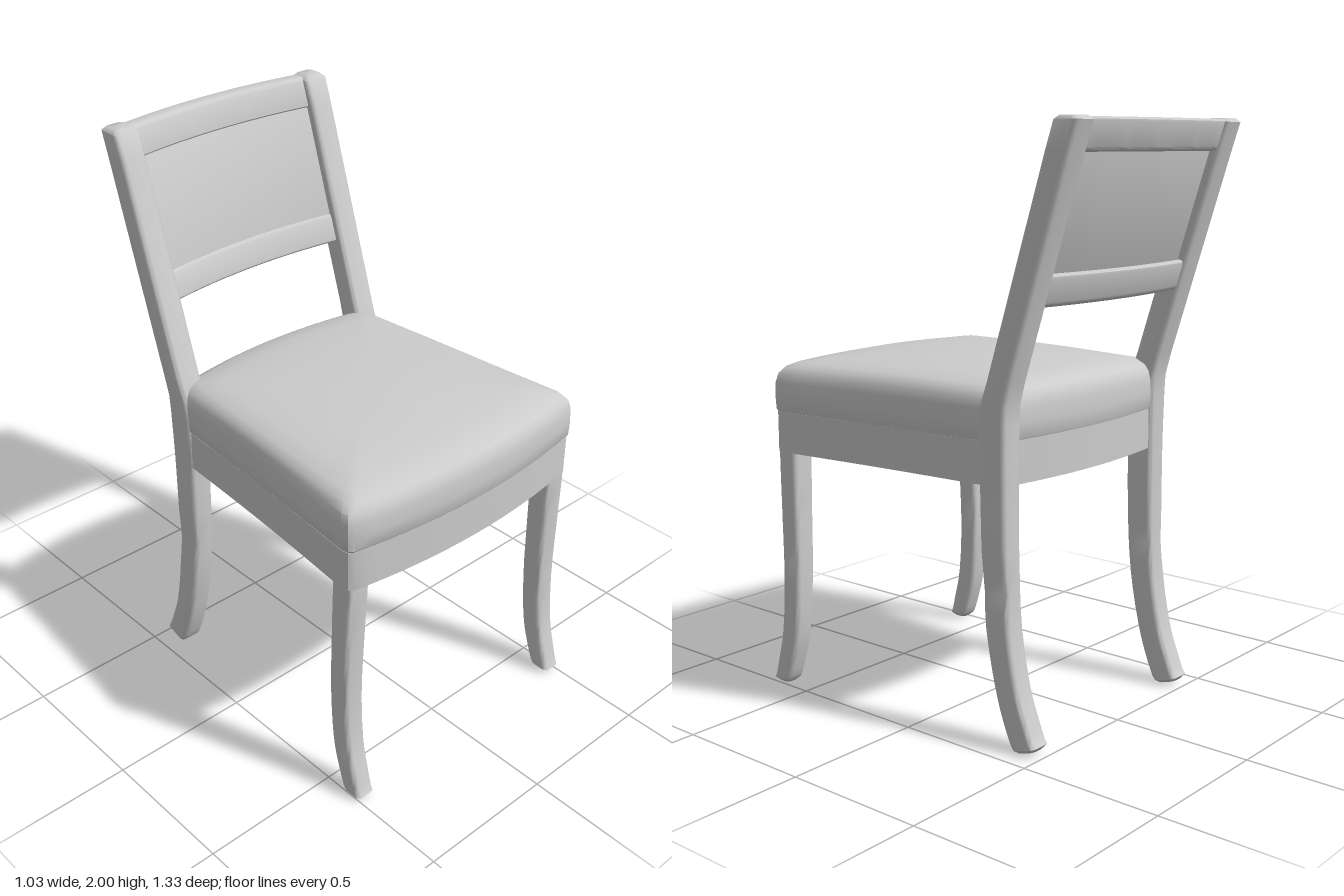
import * as THREE from 'three';
import { toCreasedNormals } from 'three/addons/utils/BufferGeometryUtils.js';

const V = (x, y, z) => new THREE.Vector3(x, y, z);

// Skin a list of equal-length rings and close both ends
function loft(rings, crease = 0.6) {
  const n = rings[0].length, pos = [], idx = [];
  rings.forEach(r => r.forEach(p => pos.push(p.x, p.y, p.z)));
  for (let k = 0; k < rings.length - 1; k++) {
    for (let i = 0; i < n; i++) {
      const a = k * n + i, b = k * n + (i + 1) % n;
      idx.push(a, a + n, b, b, a + n, b + n);
    }
  }
  [0, rings.length - 1].forEach((k, end) => {
    const c = rings[k].reduce((s, p) => s.add(p), V(0, 0, 0)).divideScalar(n);
    const ci = pos.length / 3;
    pos.push(c.x, c.y, c.z);
    for (let i = 0; i < n; i++) {
      const a = k * n + i, b = k * n + (i + 1) % n;
      if (end) idx.push(ci, b, a); else idx.push(ci, a, b);
    }
  });
  const g = new THREE.BufferGeometry();
  g.setAttribute('position', new THREE.Float32BufferAttribute(pos, 3));
  g.setIndex(idx);
  return toCreasedNormals(g, crease);
}

// Rounded rectangle as [u, v] pairs, turning from u towards v
function roundRect(hu, hv, r) {
  const pts = [];
  [[1, 1], [-1, 1], [-1, -1], [1, -1]].forEach(([su, sv], q) => {
    for (let i = 0; i < 4; i++) {
      const a = (q + i / 3) * Math.PI / 2;
      pts.push([su * (hu - r) + r * Math.cos(a), sv * (hv - r) + r * Math.sin(a)]);
    }
  });
  return pts;
}

// Leg from sections [y, xCentre, zBack, zFront, halfWidth, tilt], with softened ends
function legGeometry(sections, side) {
  const shrink = ([y, x, z0, z1, w, t]) => [y, x, z0 + 0.012, z1 - 0.012, w - 0.012, t];
  const first = shrink(sections[0]), last = shrink(sections[sections.length - 1]);
  sections[0][0] += 0.012;
  sections[sections.length - 1][0] -= 0.012;
  return loft([first, ...sections, last].map(([y, x, z0, z1, w, t = 0]) =>
    roundRect(w, (z1 - z0) / 2, 0.016).map(([u, v]) => V(side * x + u, y + t * v, (z0 + z1) / 2 + v))), 0.8);
}

// Smooth the curved part of a leg by sampling splines through its keys
function smooth(keys, steps) {
  const a = new THREE.CatmullRomCurve3(keys.map(k => V(k[0], k[2], k[3])));
  const b = new THREE.CatmullRomCurve3(keys.map(k => V(k[1], k[4], k[5] || 0)));
  return Array.from({ length: steps + 1 }, (_, i) => {
    const t = i / steps, p = a.getPoint(t), q = b.getPoint(t);
    return [p.x, q.x, p.y, p.z, q.y, q.z];
  });
}

// Seat plan: tapered, with bowed front and back; soften > 0 rounds it towards an oval
function seatOutline(s = 1, soften = 0) {
  const half = z => 0.44 + 0.088 * (z + 0.26) - 0.006 * Math.sin(Math.PI * Math.max(0, (z + 0.26) / 0.84));
  const pts = [], N = 12;
  for (let i = 0; i <= N; i++) { const z = -0.335 + 0.91 * i / N; pts.push([half(z), z]); }
  pts.push([0.508, 0.6]);
  for (let i = 0; i <= 16; i++) { const u = 1 - i / 8; pts.push([0.492 * u, 0.66 - 0.047 * u * u]); }
  pts.push([-0.508, 0.6]);
  for (let i = N; i >= 0; i--) { const z = -0.335 + 0.91 * i / N; pts.push([-half(z), z]); }
  for (let i = 0; i <= 16; i++) { const u = i / 8 - 1; pts.push([0.415 * u, -0.39 + 0.04 * u * u]); }
  return pts.map(([x, z]) => {
    const oval = 1 / Math.max(1, Math.hypot(x / 0.48, (z - 0.13) / 0.52));
    const k = s * (1 + (oval - 1) * soften);
    return [x * k, 0.13 + (z - 0.13) * k];
  });
}

// Bowed, leaning back slat between heights y0 and y1; f and b are depths behind the post fronts
function slatGeometry(y0, y1, f, b, r) {
  const rings = [];
  for (let i = 0; i <= 20; i++) {
    const u = i / 10 - 1;
    rings.push(roundRect((f - b) / 2, (y1 - y0) / 2, r).map(([w, h]) => {
      const y = (y0 + y1) / 2 + h;
      const z = -0.27 - 0.318 * (y - 1.106) + (f + b) / 2 + w + 0.035 * u * u;
      return V(0.385 * u, y, z);
    }));
  }
  return loft(rings);
}

export function createModel() {
  const chair = new THREE.Group();
  chair.name = 'chair';
  const grey = new THREE.MeshStandardMaterial({ color: 0xcccccc });
  grey.name = 'light grey';
  const add = (name, geometry) => {
    const m = new THREE.Mesh(geometry, grey);
    m.name = name;
    chair.add(m);
  };

  // Padded seat
  const layers = [[0.99, 1.0], [1.004, 1.015], [1.008, 1.06], [1.005, 1.11], [0.993, 1.14], [0.968, 1.162],
    [0.92, 1.178], [0.8, 1.192], [0.65, 1.201], [0.5, 1.207], [0.35, 1.211], [0.2, 1.214], [0.03, 1.215]];
  add('seatCushion', loft(layers.map(([s, y]) =>
    seatOutline(s, Math.min(1, Math.max(0, 1.6 * (1 - s)))).map(([x, z]) => V(x, y, z)))));

  // Hollow frame under the seat
  const flat = s => seatOutline(s).map(([x, z]) => new THREE.Vector2(x, -z));
  const frame = new THREE.Shape(flat(0.997));
  frame.holes.push(new THREE.Path(flat(0.9).reverse()));
  const apron = new THREE.ExtrudeGeometry(frame, { depth: 0.142, bevelEnabled: false });
  apron.rotateX(-Math.PI / 2).translate(0, 0.865, 0);
  add('seatFrame', toCreasedNormals(apron, 0.6));

  for (const side of [1, -1]) {
    const label = side > 0 ? 'left' : 'right';
    // Front leg, kicking forward at the foot
    add(label + 'FrontLeg', legGeometry(smooth([
      [0.012, 0.475, 0.585, 0.66, 0.035], [0.1, 0.474, 0.555, 0.637, 0.036], [0.2, 0.473, 0.53, 0.613, 0.037],
      [0.4, 0.471, 0.515, 0.597, 0.039], [0.65, 0.467, 0.516, 0.601, 0.041],
      [0.87, 0.462, 0.52, 0.607, 0.043], [1.0, 0.46, 0.52, 0.605, 0.043]], 20), side));

    // Rear leg, sweeping back at the foot and leaning back above the seat
    const lower = smooth([
      [0.014, 0.401, -0.49, -0.4, 0.041, -0.3], [0.1, 0.401, -0.456, -0.361, 0.041, -0.2],
      [0.2, 0.401, -0.422, -0.327, 0.041, -0.1], [0.4, 0.401, -0.385, -0.286, 0.041],
      [0.6, 0.401, -0.374, -0.27, 0.041], [0.87, 0.402, -0.37, -0.264, 0.042],
      [1.06, 0.403, -0.372, -0.261, 0.044]], 20);
    const upper = [[1.12, 0.404, -0.374, -0.27, 0.045], [1.2, 0.405, -0.395, -0.3, 0.046],
      [1.9, 0.405, -0.617, -0.523, 0.046], [2.0, 0.405, -0.646, -0.553, 0.046]];
    add(label + 'RearLegAndPost', legGeometry([...lower, ...upper], side));
  }

  // Backrest
  add('backPanel', slatGeometry(1.48, 1.95, -0.066, -0.09, 0.003));
  add('topRail', slatGeometry(1.895, 1.997, -0.058, -0.116, 0.014));
  add('lowerRail', slatGeometry(1.428, 1.532, -0.06, -0.115, 0.016));
  return chair;
}
